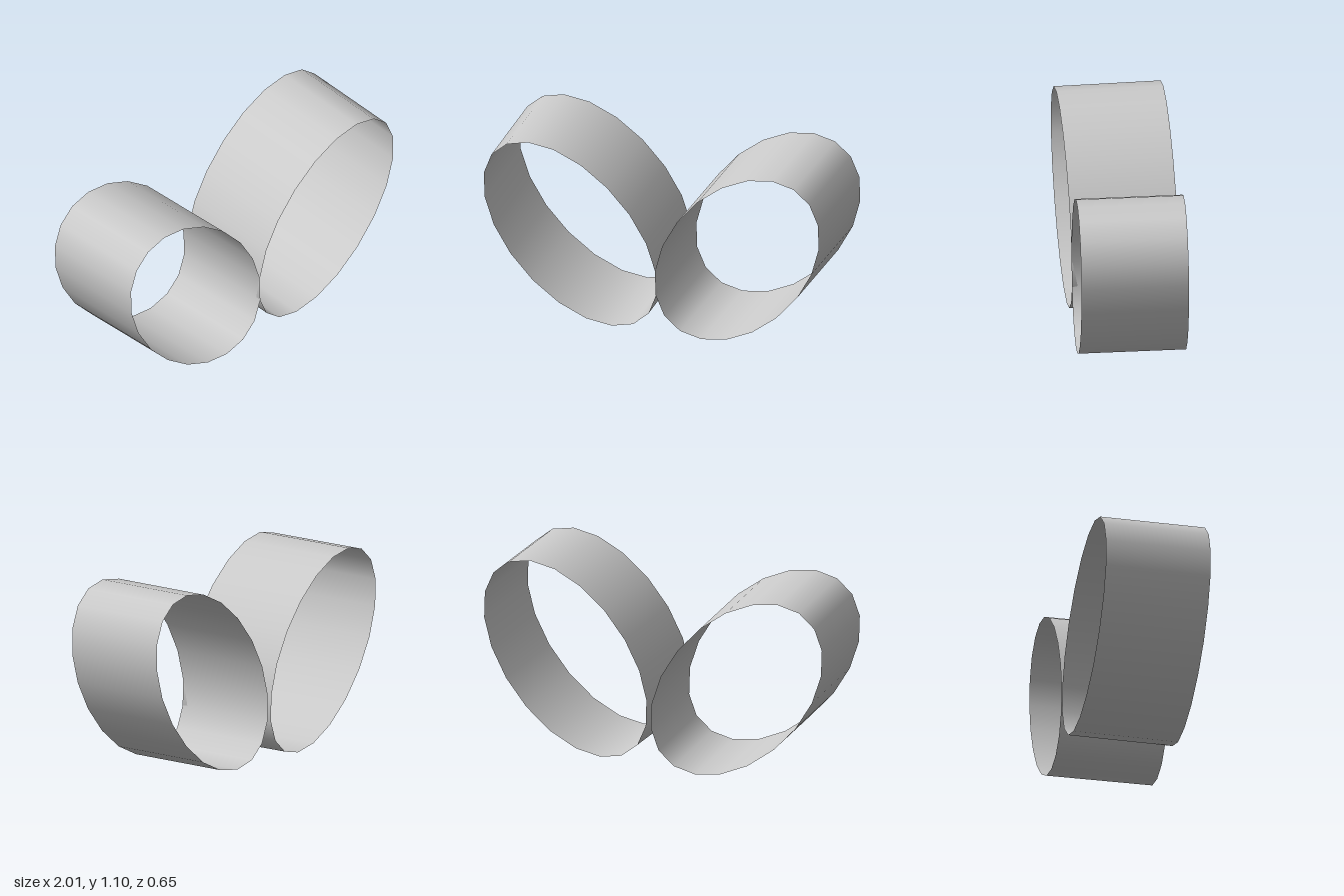
import * as THREE from 'three';

const material = new THREE.MeshStandardMaterial({ color: 0xcccccc, side: THREE.DoubleSide });
const SIDES = 20;

// Open elliptical band: its long axis leans by `lean` degrees, its bore points along `axis`
function band(name, lean, center, axis) {
  const geometry = new THREE.CylinderGeometry(1, 1, 0.592, SIDES, 1, true);
  geometry.rotateY(Math.PI / SIDES); // the long axis passes between two corners
  geometry.rotateX(Math.PI / 2);
  geometry.scale(0.622, 0.384, 1);
  geometry.rotateZ(THREE.MathUtils.degToRad(lean));
  const mesh = new THREE.Mesh(geometry, material);
  mesh.name = name;
  mesh.quaternion.setFromUnitVectors(new THREE.Vector3(0, 0, 1), new THREE.Vector3(...axis).normalize());
  mesh.position.set(...center);
  return mesh;
}

export function createModel() {
  const group = new THREE.Group();
  group.name = 'pairOfRings';
  // Straight ring and its mirrored, slightly turned partner
  group.add(band('rightRing', 132.2, [-0.497, 0.525, -0.032], [0, 0, 1]));
  group.add(band('leftRing', 50.9, [0.503, 0.558, 0], [-0.033, -0.008, 0.592]));
  return group;
}
